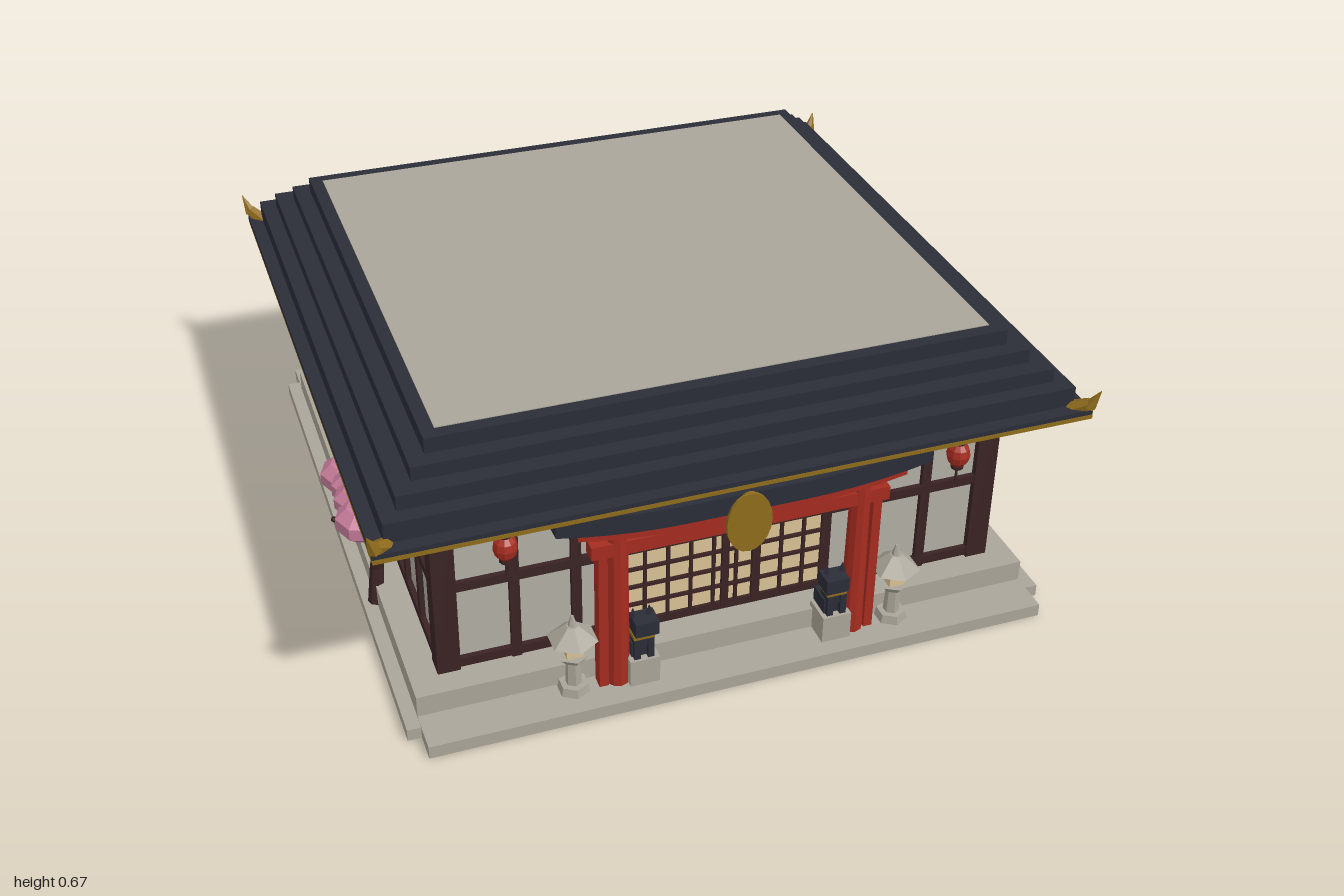
import * as THREE from 'three';

const mat = (name, color) => {
  const m = new THREE.MeshStandardMaterial({ color, flatShading: true });
  m.name = name;
  return m;
};

export function createModel() {
  const root = new THREE.Group();
  root.name = 'courtyardHall';
  const stone = mat('stone', 0xaaa599), plaster = mat('plaster', 0xb0ada2), wood = mat('darkWood', 0x3a2324);
  const tile = mat('roofTile', 0x2b2d38), red = mat('redLacquer', 0xa52c20), gold = mat('gold', 0x8f6c1c);
  const paper = mat('paper', 0xd9c294), pink = mat('blossom', 0xc77d9b), green = mat('bamboo', 0x31592a);
  const slate = mat('slate', 0x55565a);

  const add = (name, geo, m, x = 0, y = 0, z = 0, parent = root) => {
    const mesh = new THREE.Mesh(geo, m);
    mesh.name = name;
    mesh.position.set(x, y, z);
    parent.add(mesh);
    return mesh;
  };
  // Box given by centre x/z and bottom/top heights
  const box = (name, m, x, z, w, d, y0, y1, parent = root) =>
    add(name, new THREE.BoxGeometry(w, y1 - y0, d), m, x, (y0 + y1) / 2, z, parent);
  const cyl = (name, m, x, z, r0, r1, y0, y1, sides = 8, parent = root) =>
    add(name, new THREE.CylinderGeometry(r1, r0, y1 - y0, sides), m, x, (y0 + y1) / 2, z, parent);
  const group = (name, x, y, z) => {
    const g = new THREE.Group();
    g.name = name;
    g.position.set(x, y, z);
    root.add(g);
    return g;
  };
  // Straight round limb between two points
  const limb = (name, m, a, b, r0, r1, parent, sides = 6) => {
    const p = new THREE.Vector3(...a), q = new THREE.Vector3(...b), d = q.clone().sub(p);
    const mesh = add(name, new THREE.CylinderGeometry(r1, r0, d.length(), sides), m, 0, 0, 0, parent);
    mesh.position.copy(p).add(q).multiplyScalar(0.5);
    mesh.quaternion.setFromUnitVectors(new THREE.Vector3(0, 1, 0), d.normalize());
    return mesh;
  };

  // Stone foundation and steps
  box('foundation', stone, 0, 0, 1.40, 1.336, 0, 0.08);
  box('sideStep', stone, 0, 0, 1.46, 1.40, 0, 0.028);
  box('frontBackStep', stone, 0, 0, 1.40, 1.53, 0, 0.03);

  // Plaster walls with a timber frame
  const HX = 0.625, HZ = 0.597;
  box('walls', plaster, 0, 0, HX * 2, HZ * 2, 0.08, 0.51);
  for (const sx of [-1, 1]) for (const sz of [-1, 1])
    box('cornerPost', wood, sx * 0.615, sz * 0.587, 0.05, 0.05, 0.08, 0.51);
  for (const s of [-1, 1]) {
    for (let i = 0; i < 8; i++) {
      const x = -0.466 + i * 0.134;
      if (s < 0 || Math.abs(x) > 0.25) box('wallPost', wood, x, s * HZ, 0.022, 0.022, 0.08, 0.51);
      box('wallPost', wood, s * HX, 0.438 - i * 0.134, 0.022, 0.022, 0.08, 0.51);
    }
    for (const y of [0.085, 0.283, 0.48]) {
      box('wallRail', wood, s * HX, 0, 0.024, HZ * 2, y, y + 0.022);
      if (s < 0 || y !== 0.283) box('wallRail', wood, 0, s * HZ, HX * 2, 0.024, y, y + 0.022);
      else for (const k of [-1, 1]) box('wallRail', wood, k * 0.43, HZ, 0.39, 0.024, y, y + 0.022);
    }
  }

  // Paper lattice doors
  box('doorPaper', paper, 0, 0.602, 0.47, 0.01, 0.1, 0.4);
  for (let i = 0; i <= 9; i++)
    box('latticeUpright', wood, -0.234 + i * 0.052, 0.608, i % 9 ? 0.007 : 0.022, 0.012, 0.1, 0.4);
  for (let i = 0; i <= 6; i++) box('latticeBar', wood, 0, 0.608, 0.47, 0.012, 0.102 + i * 0.047, 0.109 + i * 0.047);
  for (const x of [0, 0.07]) box('doorStile', wood, x, 0.609, 0.016, 0.014, 0.1, 0.4);

  // Stepped tile roof with a flat stone deck
  const tiers = [[0.775, 0.507, 0.522], [0.745, 0.52, 0.567], [0.71, 0.567, 0.6], [0.67, 0.6, 0.632], [0.633, 0.632, 0.667]];
  for (const [h, y0, y1] of tiers) box('roofTier', tile, 0, 0, h * 2, (h - 0.031) * 2, y0, y1);
  box('roofDeck', stone, 0, 0, 1.208, 1.144, 0.66, 0.669);
  for (const s of [-1, 1]) {
    box('eaveTrim', gold, 0, s * 0.739, 1.55, 0.012, 0.501, 0.511);
    box('eaveTrim', gold, s * 0.769, 0, 0.012, 1.478, 0.501, 0.511);
    // Upturned corner horns
    for (const k of [-1, 1]) {
      limb('eaveHorn', gold, [s * 0.74, 0.512, k * 0.71], [s * 0.768, 0.535, k * 0.738], 0.02, 0.014, root);
      limb('eaveHornTip', gold, [s * 0.768, 0.53, k * 0.738], [s * 0.783, 0.572, k * 0.752], 0.015, 0.001, root);
    }
  }

  // Gate with curved top beams
  const curvedBeam = (name, m, half, y, rise, thick, depth, z) => {
    const s = new THREE.Shape();
    s.moveTo(-half, y + rise);
    s.quadraticCurveTo(-half * 0.65, y, -half * 0.3, y);
    s.lineTo(half * 0.3, y);
    s.quadraticCurveTo(half * 0.65, y, half, y + rise);
    s.lineTo(half, y + rise + thick);
    s.quadraticCurveTo(half * 0.65, y + thick, half * 0.3, y + thick);
    s.lineTo(-half * 0.3, y + thick);
    s.quadraticCurveTo(-half * 0.65, y + thick, -half, y + rise + thick);
    const geo = new THREE.ExtrudeGeometry(s, { depth, bevelEnabled: false, curveSegments: 5 });
    add(name, geo, m, 0, 0, z - depth / 2);
  };
  curvedBeam('gateCap', tile, 0.41, 0.433, 0.03, 0.045, 0.08, 0.69);
  curvedBeam('gateUpperBeam', red, 0.36, 0.41, 0.025, 0.027, 0.06, 0.69);
  box('gateLowerBeam', red, 0, 0.69, 0.66, 0.035, 0.37, 0.402);
  for (const s of [-1, 1]) {
    cyl('gatePost', red, s * 0.27, 0.69, 0.026, 0.022, 0.03, 0.43, 10);
    box('gatePostBrace', red, s * 0.305, 0.69, 0.02, 0.03, 0.03, 0.37);
  }
  const plaque = cyl('gatePlaque', gold, 0, 0.732, 0.05, 0.05, 0.403, 0.413, 20);
  plaque.rotation.x = Math.PI / 2;
  plaque.scale.z = 1.45;

  for (const s of [-1, 1]) {
    // Stone lanterns
    const L = group('stoneLantern', s * 0.368, 0.03, 0.69);
    cyl('lanternFoot', stone, 0, 0, 0.036, 0.032, 0, 0.02, 6, L);
    cyl('lanternShaft', stone, 0, 0, 0.018, 0.015, 0.02, 0.085, 6, L);
    cyl('lanternTray', stone, 0, 0, 0.022, 0.036, 0.08, 0.097, 6, L);
    box('lanternLight', paper, 0, 0, 0.036, 0.036, 0.097, 0.14, L);
    cyl('lanternRoof', stone, 0, 0, 0.055, 0.014, 0.137, 0.172, 6, L);
    cyl('lanternKnob', stone, 0, 0, 0.011, 0.003, 0.17, 0.197, 6, L);

    // Guardian beasts on plinths
    const G = group('guardian', s * 0.22, 0.03, 0.69);
    box('plinth', stone, 0, 0, 0.066, 0.07, 0, 0.065, G);
    box('guardianHaunch', tile, 0, -0.01, 0.05, 0.055, 0.065, 0.1, G);
    box('guardianChest', tile, 0, 0.005, 0.042, 0.036, 0.09, 0.14, G);
    box('guardianHead', tile, -s * 0.004, 0.014, 0.052, 0.046, 0.13, 0.165, G);
    box('guardianCollar', gold, 0, 0.006, 0.046, 0.042, 0.115, 0.125, G);
    for (const k of [-1, 1]) {
      cyl('guardianEar', tile, k * 0.018, 0.005, 0.009, 0.001, 0.163, 0.185, 4, G);
      box('guardianLeg', tile, k * 0.015, 0.022, 0.014, 0.014, 0.065, 0.115, G);
    }

    // Hanging paper lanterns
    const H = group('hangingLantern', s * 0.5, 0, 0.68);
    cyl('lanternCord', wood, 0, 0, 0.003, 0.003, 0.36, 0.51, 5, H);
    const body = add('lanternBody', new THREE.SphereGeometry(0.026, 10, 6), red, 0, 0.43, 0, H);
    body.scale.y = 1.2;
    for (const y of [0.395, 0.457]) cyl('lanternCap', wood, 0, 0, 0.014, 0.014, y, y + 0.008, 8, H);

    // Blossom trees at the sides
    const T = group('blossomTree', s * 0.69, 0.03, 0.27);
    const turns = [[s * 0.01, 0, 0], [0, 0.09, -0.01], [-s * 0.01, 0.17, 0.005], [s * 0.005, 0.27, 0.01]];
    for (let i = 0; i < 3; i++) limb('trunk', wood, turns[i], turns[i + 1], 0.019 - i * 0.003, 0.016 - i * 0.003, T, 7);
    for (const [x, y, z] of [[0.09, 0.255, 0.01], [-0.02, 0.27, 0.09], [-0.01, 0.27, -0.09]])
      limb('branch', wood, [-s * 0.008, 0.185, 0.005], [s * x, y, z], 0.01, 0.006, T);
    const blobs = [[0.03, 0.305, 0.1, 0.07], [0.03, 0.315, 0.04, 0.06], [0.015, 0.3, -0.03, 0.068],
      [0.03, 0.29, -0.095, 0.065], [0.0, 0.335, 0.06, 0.045]];
    for (const [x, y, z, r] of blobs) {
      const b = add('blossomCluster', new THREE.SphereGeometry(r, 8, 5), pink, s * x, y, z, T);
      b.scale.y = 0.62;
    }

    // Bamboo clumps
    const B = group('bambooClump', s * 0.665, 0.08, 0);
    [[-0.2, 0.31], [-0.242, 0.235], [-0.28, 0.23], [-0.32, 0.225], [-0.358, 0.24]].forEach(([z, h], i) => {
      const x = (i % 2) * 0.012 - 0.006;
      cyl('bambooStalk', green, x, z, 0.01, 0.009, 0, h, 7, B);
      for (let y = 0.06; y < h; y += 0.07) cyl('bambooNode', green, x, z, 0.012, 0.012, y, y + 0.006, 7, B);
    });
  }

  // Small pond at the back
  const rim = add('pondRim', new THREE.TorusGeometry(0.06, 0.009, 5, 14), stone, 0, 0.034, -0.7);
  rim.rotation.x = Math.PI / 2;
  rim.scale.set(1.1, 0.7, 1);
  const water = cyl('pondWater', slate, 0, -0.7, 0.058, 0.058, 0.03, 0.037, 14);
  water.scale.set(1.1, 1, 0.7);

  // Arched plank footbridge over the pond
  for (let i = -4; i <= 4; i++) {
    const plank = add('bridgePlank', new THREE.BoxGeometry(0.033, 0.008, 0.09), red, i * 0.031, 0.096 - i * i * 0.0011, -0.665);
    plank.rotation.z = -i * 0.07;
  }
  return root;
}
